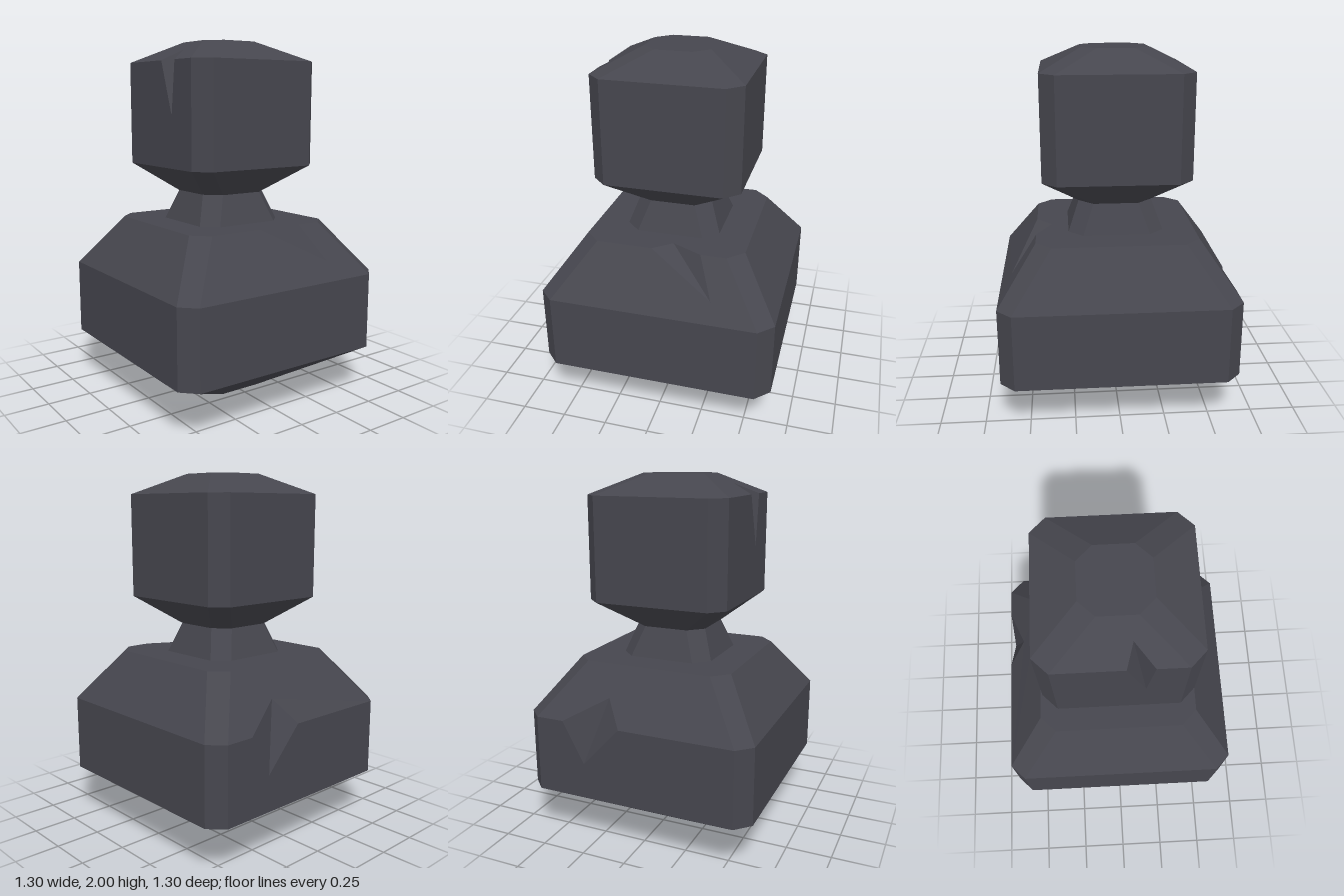
import * as THREE from 'three';

const stone = new THREE.MeshStandardMaterial({ color: 0x46464e });
stone.name = 'dark stone';

// Square ring with bevelled corners; side 0 is +z, 2 is +x, 4 is -z, 6 is -x
function ring(y, h, bevel = 0.08) {
  const a = h - bevel;
  return [[-a, h], [a, h], [h, a], [h, -a], [a, -h], [-a, -h], [-h, -a], [-h, a]]
    .map(([x, z]) => new THREE.Vector3(x, y, z));
}

// Triangulate a flat polygon (possibly concave) in its own plane
function addFace(out, pts) {
  const n = new THREE.Vector3();
  pts.forEach((p, i) => n.add(p.clone().cross(pts[(i + 1) % pts.length])));
  n.normalize();
  const u = pts[1].clone().sub(pts[0]).normalize();
  const v = n.clone().cross(u);
  const flat = pts.map((p) => new THREE.Vector2(p.dot(u), p.dot(v)));
  for (const tri of THREE.ShapeUtils.triangulateShape(flat, [])) {
    for (const i of tri) out.push(pts[i].x, pts[i].y, pts[i].z);
  }
}

// Stack of rings; each chip cuts a wedge across the edge above band `band`
function facetedStack(name, rings, chips = []) {
  const out = [];
  for (let b = 0; b < rings.length - 1; b++) {
    for (let s = 0; s < 8; s++) {
      const t = (s + 1) % 8;
      const below = chips.find((c) => c.band === b && c.side === s);
      const above = chips.find((c) => c.band === b - 1 && c.side === s);
      const pts = [rings[b][s]];
      if (above) pts.push(above.start, above.high, above.end);
      pts.push(rings[b][t], rings[b + 1][t]);
      if (below) pts.push(below.end, below.low, below.start);
      pts.push(rings[b + 1][s]);
      addFace(out, pts);
    }
  }
  for (const c of chips) {
    addFace(out, [c.start, c.low, c.high]);
    addFace(out, [c.low, c.end, c.high]);
  }
  // End caps
  addFace(out, [...rings[0]].reverse());
  addFace(out, rings[rings.length - 1]);

  const geo = new THREE.BufferGeometry();
  geo.setAttribute('position', new THREE.Float32BufferAttribute(out, 3));
  geo.computeVertexNormals();
  const mesh = new THREE.Mesh(geo, stone);
  mesh.name = name;
  return mesh;
}

const p = (x, y, z) => new THREE.Vector3(x, y, z);

export function createModel() {
  const group = new THREE.Group();
  group.name = 'stoneFigure';

  // Wide body with a chip on the front shoulder and one on the back
  group.add(facetedStack('body', [
    ring(0, 0.2), ring(0.28, 0.652), ring(0.71, 0.652), ring(1, 0.445, 0.085), ring(1, 0.25),
  ], [
    { band: 2, side: 0, start: p(-0.05, 1, 0.445), end: p(0.22, 1, 0.445),
      low: p(0.31, 0.807, 0.583), high: p(0.05, 1, 0.36) },
    { band: 1, side: 4, start: p(0.41, 0.71, -0.652), end: p(0.07, 0.71, -0.652),
      low: p(0.285, 0.48, -0.652), high: p(0.17, 0.844, -0.556) },
  ]));

  // Tapered neck
  group.add(facetedStack('neck', [ring(1, 0.265), ring(1.165, 0.205)]));

  // Blocky head with a chip on its right upper edge
  group.add(facetedStack('head', [
    ring(1.165, 0.205), ring(1.32, 0.403), ring(1.89, 0.403), ring(2, 0.18),
  ], [
    { band: 1, side: 6, start: p(-0.403, 1.89, 0.03), end: p(-0.403, 1.89, 0.165),
      low: p(-0.403, 1.6, 0.13), high: p(-0.285, 1.948, 0.067) },
  ]));

  return group;
}
